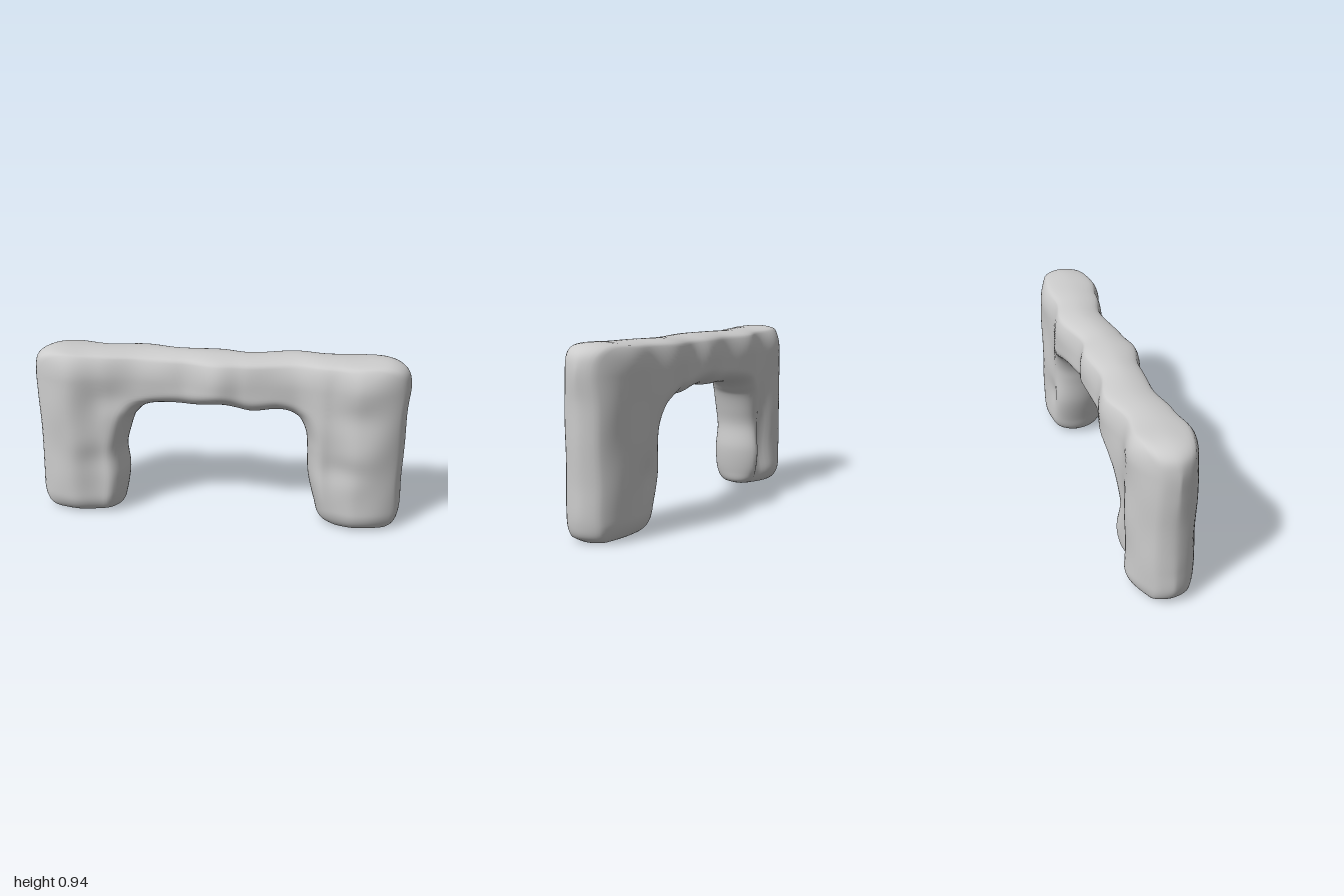
import * as THREE from 'three';

// Paired outline points [innerX, innerY, outerX, outerY], from left foot over the beam to right foot
const STATIONS = [
  [-0.60, 0.00, -0.89, 0.00], [-0.55, 0.02, -0.96, 0.025], [-0.53, 0.08, -0.995, 0.09],
  [-0.51, 0.22, -0.995, 0.22], [-0.52, 0.36, -0.99, 0.37], [-0.50, 0.45, -0.99, 0.50],
  [-0.465, 0.55, -1.0, 0.68], [-0.44, 0.58, -1.0, 0.82], [-0.415, 0.605, -0.975, 0.89],
  [-0.38, 0.625, -0.90, 0.93], [-0.32, 0.64, -0.70, 0.93], [-0.23, 0.645, -0.42, 0.927],
  [-0.13, 0.642, -0.18, 0.93], [0.02, 0.655, 0.02, 0.93], [0.18, 0.625, 0.20, 0.925],
  [0.29, 0.633, 0.42, 0.93], [0.35, 0.63, 0.70, 0.93], [0.39, 0.615, 0.90, 0.93],
  [0.42, 0.595, 0.975, 0.89], [0.445, 0.56, 1.0, 0.82], [0.467, 0.50, 0.99, 0.66],
  [0.475, 0.42, 0.99, 0.47], [0.483, 0.27, 0.985, 0.28], [0.52, 0.12, 0.985, 0.10],
  [0.545, 0.04, 0.965, 0.03], [0.59, 0.00, 0.92, 0.00],
];

// Depth of the front and back faces along x: [x, front, back]
const DEPTH = [
  [-1, 0.16, -0.17], [-0.8, 0.165, -0.185], [-0.62, 0.13, -0.155], [-0.42, 0.10, -0.19],
  [-0.2, 0.11, -0.145], [0, 0.155, -0.16], [0.13, 0.13, -0.13], [0.4, 0.095, -0.18],
  [0.58, 0.14, -0.15], [0.75, 0.175, -0.16], [1, 0.17, -0.16],
];

// Soft hollows and bumps: [x, y, radiusX, radiusY, amount, side]
const DENTS = [
  [-0.64, 0.2, 0.055, 0.26, -0.045, -1], [-0.55, 0.15, 0.05, 0.12, 0.015, -1],
  [-0.68, 0.33, 0.11, 0.08, -0.012, 1], [-0.56, 0.68, 0.1, 0.08, -0.015, 1],
  [0.68, 0.35, 0.12, 0.07, -0.014, 1], [0.72, 0.66, 0.14, 0.08, -0.012, 1],
  [0.8, 0.45, 0.12, 0.12, 0.01, 1], [0.62, 0.28, 0.06, 0.08, -0.015, -1],
];

const ellipse = (d) => Math.sqrt(1 - (1 - THREE.MathUtils.clamp(d, 0, 1)) ** 2);

// Smoothly interpolated face depth
function faceDepth(x, column) {
  let i = 0;
  while (i < DEPTH.length - 2 && x > DEPTH[i + 1][0]) i++;
  const f = THREE.MathUtils.smoothstep(x, DEPTH[i][0], DEPTH[i + 1][0]);
  return THREE.MathUtils.lerp(DEPTH[i][column], DEPTH[i + 1][column], f);
}

function surfaceZ(x, y, side, dInner, dOuter) {
  const front = faceDepth(x, 1), back = faceDepth(x, 2);
  const mid = (front + back) / 2;
  let half = (front - back) / 2;
  for (const [cx, cy, rx, ry, amount, s] of DENTS) {
    if (s === side) half += amount * Math.exp(-(((x - cx) / rx) ** 2) - ((y - cy) / ry) ** 2);
  }
  half += 0.004 * Math.sin(x * 17 + side) * Math.sin(y * 15 + side * 2);
  // Rounded edges, long tapering nose at each end, softened crown and feet
  const edge = ellipse(dInner / 0.09) * ellipse(dOuter / 0.035);
  const nose = ellipse((1.005 - Math.abs(x)) / 0.28);
  const crown = 0.55 + 0.45 * ellipse((0.932 - y) / 0.15);
  const foot = 0.5 + 0.5 * ellipse(y / 0.11);
  return mid + side * half * edge * nose * crown * foot;
}

function archGeometry(steps = 180, ring = 64) {
  const curve = (k) => new THREE.CatmullRomCurve3(
    STATIONS.map((s) => new THREE.Vector3(s[k], s[k + 1], 0)), false, 'centripetal');
  const inner = curve(0), outer = curve(2);
  const positions = [], indices = [];

  // One closed cross-section per step, from inner edge over the front to the outer edge and back
  for (let i = 0; i <= steps; i++) {
    const a = inner.getPoint(i / steps), b = outer.getPoint(i / steps);
    const length = a.distanceTo(b);
    for (let j = 0; j < ring; j++) {
      const angle = (j / ring) * Math.PI * 2;
      const t = 0.5 - 0.5 * Math.cos(angle);
      const p = a.clone().lerp(b, t);
      const y = Math.max(0, p.y);
      const side = j <= ring / 2 ? 1 : -1;
      positions.push(p.x, y, surfaceZ(p.x, y, side, t * length, (1 - t) * length));
    }
  }
  for (let i = 0; i < steps; i++) {
    for (let j = 0; j < ring; j++) {
      const k = (j + 1) % ring;
      const a = i * ring + j, b = a + ring, c = i * ring + k, d = c + ring;
      indices.push(a, b, c, b, d, c);
    }
  }

  // Flat soles under both feet
  for (const [row, flip] of [[0, false], [steps, true]]) {
    const s = STATIONS[flip ? STATIONS.length - 1 : 0];
    const centre = positions.length / 3;
    positions.push((s[0] + s[2]) / 2, 0, 0);
    for (let j = 0; j < ring; j++) {
      const a = row * ring + j, b = row * ring + ((j + 1) % ring);
      indices.push(centre, flip ? b : a, flip ? a : b);
    }
  }

  const geometry = new THREE.BufferGeometry();
  geometry.setAttribute('position', new THREE.Float32BufferAttribute(positions, 3));
  geometry.setIndex(indices);
  geometry.computeVertexNormals();
  return geometry;
}

export function createModel() {
  const group = new THREE.Group();
  group.name = 'stoneArch';
  const arch = new THREE.Mesh(archGeometry(), new THREE.MeshStandardMaterial({ color: 0xcccccc }));
  arch.name = 'archBody';
  group.add(arch);
  return group;
}
